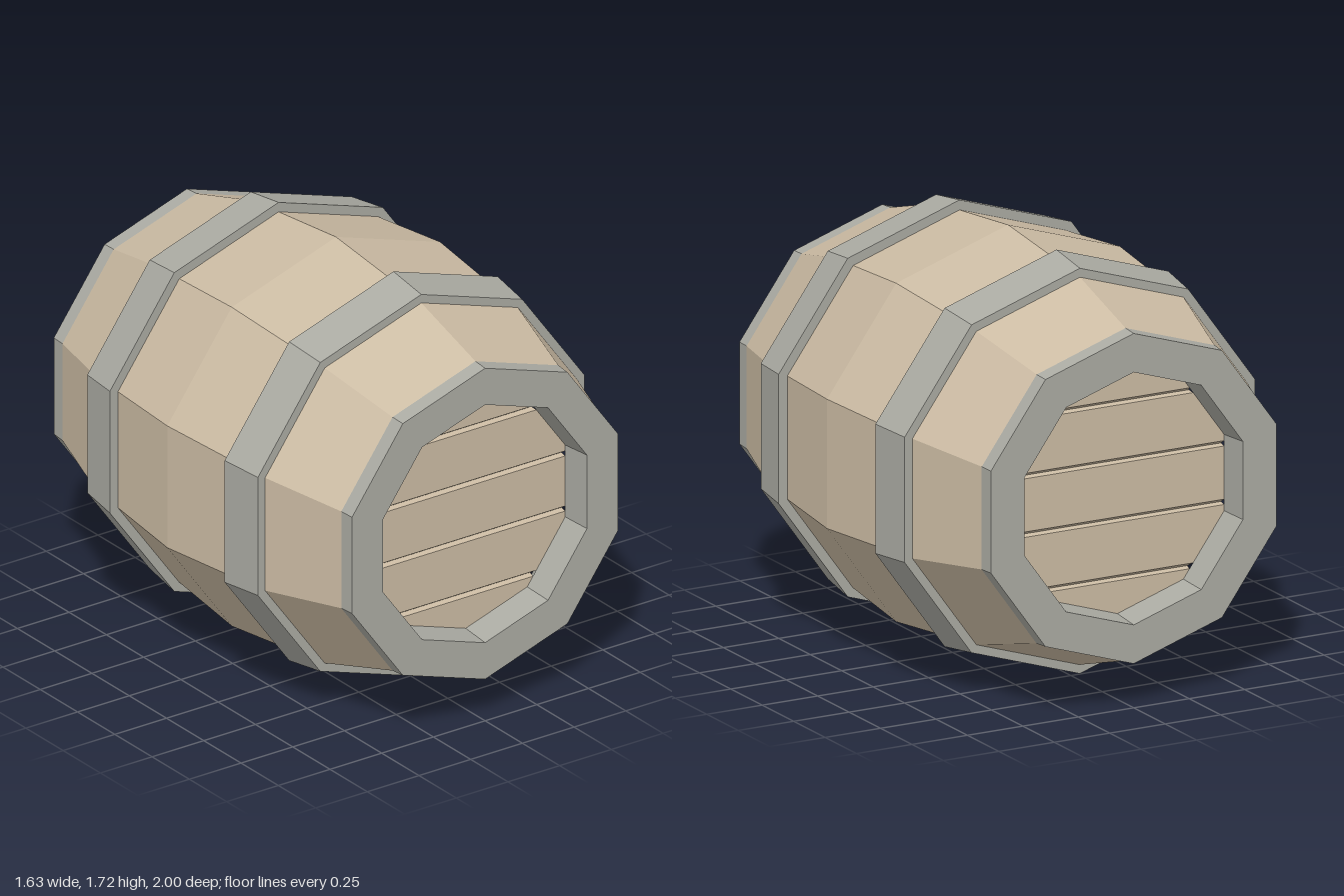
import * as THREE from 'three';

const SIDES = 10;
const RADIUS = 0.858;
const wood = new THREE.MeshStandardMaterial({ color: 0xcbbba3, flatShading: true });
const metal = new THREE.MeshStandardMaterial({ color: 0xaaaaa2, flatShading: true });

// Ten-sided ring about the z axis from [radius, z] pairs, with a corner at the top
function ring(name, profile, material) {
  const points = profile.map(([r, z]) => new THREE.Vector2(r, z));
  const geometry = new THREE.LatheGeometry(points, SIDES).rotateX(Math.PI / 2);
  const mesh = new THREE.Mesh(geometry, material);
  mesh.name = name;
  return mesh;
}

// Recessed plank lid: horizontal rows across a decagon, dipping into V grooves
function lid() {
  const r = 0.506, z = 0.87, corners = [];
  for (let k = 0; k <= SIDES / 2; k++) {
    const a = Math.PI - (k * 2 * Math.PI) / SIDES;
    corners.push([r * Math.cos(a), r * Math.sin(a)]);
  }
  const halfWidth = (y) => {
    const i = Math.max(1, corners.findIndex((c) => c[0] >= y - 1e-6));
    const [y0, w0] = corners[i - 1], [y1, w1] = corners[i];
    return THREE.MathUtils.mapLinear(y, y0, y1, w0, w1);
  };
  const rows = corners.map((c) => [c[0], z]);
  for (const y of [-0.36, -0.12, 0.12, 0.36]) {
    rows.push([y - 0.011, z], [y - 0.005, z - 0.025], [y + 0.011, z]);
  }
  rows.sort((a, b) => a[0] - b[0]);

  const positions = [], index = [];
  rows.forEach(([y, depth], i) => {
    const w = halfWidth(y);
    positions.push(-w, y, depth, w, y, depth);
    if (i > 0) {
      const a = 2 * i - 2;
      index.push(a, a + 1, a + 3, a, a + 3, a + 2);
    }
  });
  const geometry = new THREE.BufferGeometry();
  geometry.setAttribute('position', new THREE.Float32BufferAttribute(positions, 3));
  geometry.setIndex(index);
  geometry.computeVertexNormals();
  const mesh = new THREE.Mesh(geometry, wood);
  mesh.name = 'plankLid';
  return mesh;
}

export function createModel() {
  const barrel = new THREE.Group();
  barrel.name = 'barrel';

  // Bulging wooden body
  const half = [[0.858, 0], [0.817, 0.385], [0.795, 0.57], [0.682, 0.935]];
  const back = half.slice(1).reverse().map(([r, z]) => [r, -z]);
  barrel.add(ring('body', [...back, ...half], wood));

  // Each end: hoop, rim and lid
  for (const [name, turn] of [['frontEnd', 0], ['backEnd', Math.PI]]) {
    const end = new THREE.Group();
    end.name = name;
    end.add(ring('hoop',
      [[0.8, 0.385], [0.858, 0.385], [0.831, 0.572], [0.785, 0.572]], metal));
    end.add(ring('rim',
      [[0.682, 0.935], [0.677, 1], [0.518, 1], [0.506, 0.87]], metal));
    end.add(lid());
    end.rotation.y = turn;
    barrel.add(end);
  }

  barrel.position.y = RADIUS;
  const model = new THREE.Group();
  model.name = 'model';
  model.add(barrel);
  return model;
}
